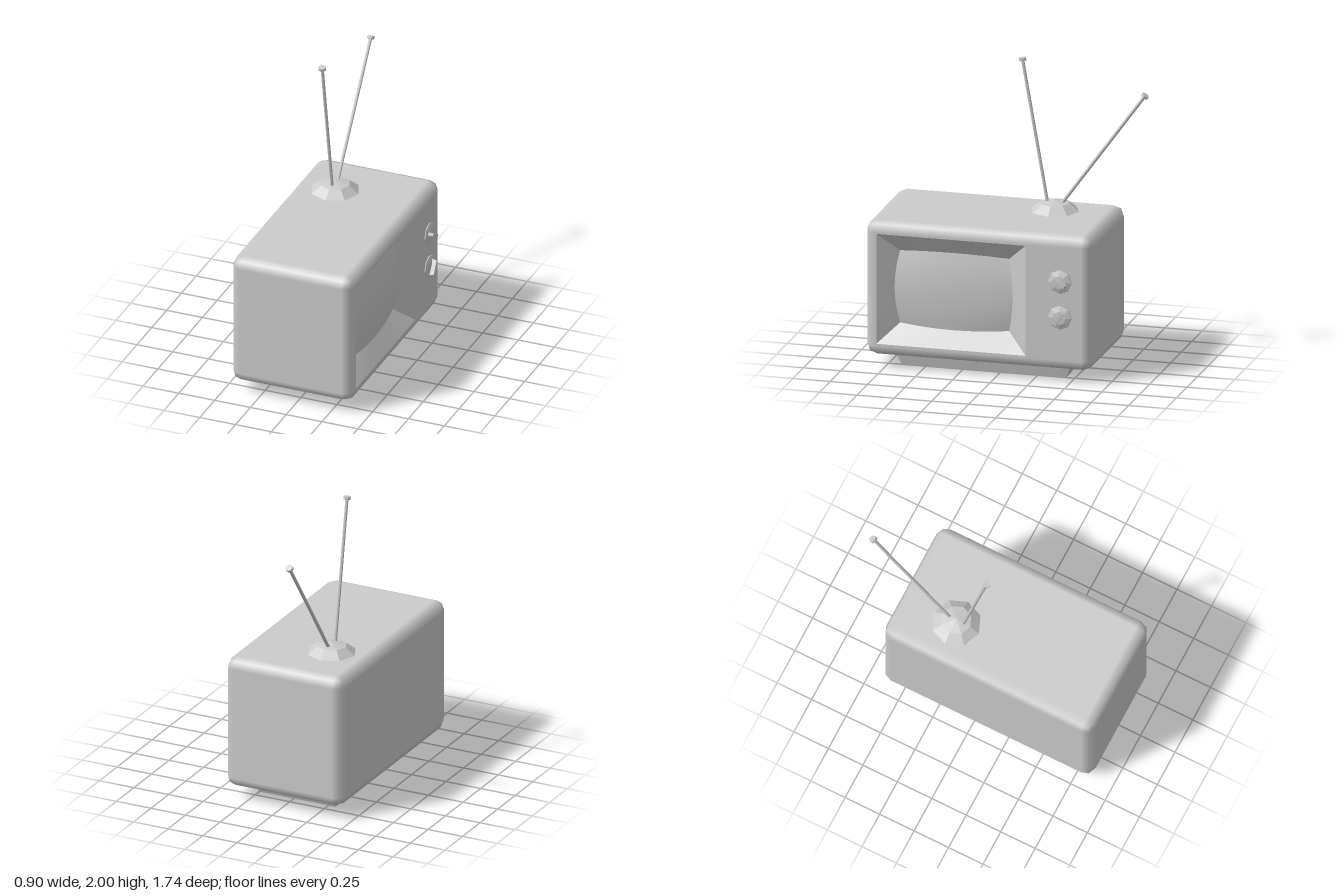
import * as THREE from 'three';
import { RoundedBoxGeometry } from 'three/addons/geometries/RoundedBoxGeometry.js';

const smooth = new THREE.MeshStandardMaterial({ color: 0xcccccc, side: THREE.DoubleSide });
const flat = new THREE.MeshStandardMaterial({ color: 0xcccccc, flatShading: true });

const BODY = { x0: -0.45, x1: 0.4, y0: 0.085, y1: 0.99, z0: -0.65, z1: 0.87, r: 0.07 };
const OPENING = { y0: 0.17, y1: 0.91, z0: -0.21, z1: 0.79 };
const ROD_X = -0.175;

function add(parent, name, geometry, material) {
  const mesh = new THREE.Mesh(geometry, material);
  mesh.name = name;
  parent.add(mesh);
  return mesh;
}

// Rounded cabinet shell with its flat screen-side face left out
function shellGeometry() {
  const { x0, x1, y0, y1, z0, z1, r } = BODY;
  const box = new RoundedBoxGeometry(x1 - x0, y1 - y0, z1 - z0, 1, r).toNonIndexed();
  box.translate((x0 + x1) / 2, (y0 + y1) / 2, (z0 + z1) / 2);
  const p = box.attributes.position, n = box.attributes.normal;
  const pos = [], nor = [];
  for (let i = 0; i < p.count; i += 3) {
    const ids = [i, i + 1, i + 2];
    if (ids.every((k) => p.getX(k) > x1 - 1e-4)) continue;
    for (const k of ids) {
      pos.push(p.getX(k), p.getY(k), p.getZ(k));
      nor.push(n.getX(k), n.getY(k), n.getZ(k));
    }
  }
  const g = new THREE.BufferGeometry();
  g.setAttribute('position', new THREE.Float32BufferAttribute(pos, 3));
  g.setAttribute('normal', new THREE.Float32BufferAttribute(nor, 3));
  return g;
}

function rectPoints(y0, y1, z0, z1) {
  return [[-z1, y0], [-z0, y0], [-z0, y1], [-z1, y1]].map(([a, b]) => new THREE.Vector2(a, b));
}

// Flat face with the rectangular opening
function panelGeometry() {
  const { x1, y0, y1, z0, z1, r } = BODY;
  const shape = new THREE.Shape(rectPoints(y0 + r, y1 - r, z0 + r, z1 - r));
  shape.holes.push(new THREE.Path(rectPoints(OPENING.y0, OPENING.y1, OPENING.z0, OPENING.z1)));
  return new THREE.ShapeGeometry(shape).rotateY(Math.PI / 2).translate(x1, 0, 0);
}

// Bulging screen surface, u and v in -1..1
function screenPoint(u, v) {
  return new THREE.Vector3(
    0.3 + 0.025 * (1 - u * u) + 0.025 * (1 - v * v),
    0.54 + v * (0.243 + 0.017 * (1 - u * u)),
    0.293 - u * (0.365 + 0.03 * (1 - v * v)));
}

function openingPoint(u, v) {
  const { y0, y1, z0, z1 } = OPENING;
  return new THREE.Vector3(BODY.x1, (y0 + y1 + v * (y1 - y0)) / 2, (z0 + z1 - u * (z1 - z0)) / 2);
}

// Grid surface whose points follow a rule of (u, v)
function gridGeometry(nu, nv, rule) {
  const g = new THREE.PlaneGeometry(2, 2, nu, nv);
  const p = g.attributes.position;
  for (let i = 0; i < p.count; i++) {
    const q = rule(p.getX(i), p.getY(i));
    p.setXYZ(i, q.x, q.y, q.z);
  }
  g.computeVertexNormals();
  return g;
}

// Octagonal dial with a tapered grip bar
function makeKnob(name, y, angle) {
  const knob = new THREE.Group();
  knob.name = name;
  const dial = add(knob, 'dial', new THREE.LatheGeometry(
    [[0.082, -0.005], [0.078, 0.006], [0.045, 0.018], [0, 0.021]].map(([a, b]) => new THREE.Vector2(a, b)), 8), flat);
  dial.rotation.z = -Math.PI / 2;
  const bar = new THREE.BoxGeometry(0.036, 0.02, 0.108);
  const p = bar.attributes.position;
  for (let i = 0; i < p.count; i++) if (p.getX(i) > 0) p.setZ(i, p.getZ(i) * 0.85);
  const grip = add(knob, 'grip', bar, flat);
  grip.position.x = 0.029;
  grip.rotation.x = angle;
  knob.position.set(BODY.x1, y, -0.44);
  return knob;
}

// Thin rod with a small cap at its end
function makeAntenna(name, y0, z0, y1, z1) {
  const antenna = new THREE.Group();
  antenna.name = name;
  const dir = new THREE.Vector3(0, y1 - y0, z1 - z0);
  const len = dir.length();
  add(antenna, 'rod', new THREE.CylinderGeometry(0.011, 0.011, len, 8).translate(0, len / 2, 0), flat);
  add(antenna, 'cap', new THREE.CylinderGeometry(0.025, 0.025, 0.02, 8).translate(0, len, 0), flat);
  antenna.position.set(ROD_X, y0, z0);
  antenna.quaternion.setFromUnitVectors(new THREE.Vector3(0, 1, 0), dir.normalize());
  return antenna;
}

export function createModel() {
  const model = new THREE.Group();
  model.name = 'television';

  // Cabinet
  add(model, 'cabinet', shellGeometry(), smooth);
  add(model, 'screenPanel', panelGeometry(), smooth);

  // Sloped surround from the opening in to the screen edge
  const surround = new THREE.Group();
  surround.name = 'screenSurround';
  model.add(surround);
  const sides = [(t) => [t, 1], (t) => [t, -1], (t) => [1, t], (t) => [-1, t]];
  for (const edge of sides) {
    add(surround, 'surroundSide', gridGeometry(8, 1, (t, w) => {
      const [u, v] = edge(t);
      return openingPoint(u, v).lerp(screenPoint(u, v), (w + 1) / 2);
    }), smooth);
  }
  add(model, 'screen', gridGeometry(8, 8, screenPoint), smooth);

  // Tapered plinth
  const plinth = new THREE.BoxGeometry(0.6, 0.1, 1.19).translate(-0.025, 0.05, 0.11);
  const p = plinth.attributes.position;
  for (let i = 0; i < p.count; i++) {
    if (p.getY(i) > 0.05) continue;
    p.setX(i, -0.025 + Math.sign(p.getX(i) + 0.025) * 0.275);
    p.setZ(i, 0.11 + Math.sign(p.getZ(i) - 0.11) * 0.55);
  }
  add(model, 'plinth', plinth, flat);

  // Control knobs
  model.add(makeKnob('upperKnob', 0.685, -0.52));
  model.add(makeKnob('lowerKnob', 0.445, 1.02));

  // Antenna base and rods
  const dome = add(model, 'antennaBase', new THREE.LatheGeometry(
    [[0.175, 0.98], [0.1, 1.04], [0, 1.06]].map(([a, b]) => new THREE.Vector2(a, b)), 8), flat);
  dome.position.set(ROD_X, 0, -0.245);
  model.add(makeAntenna('uprightAntenna', 1.03, -0.197, 1.988, -0.028));
  model.add(makeAntenna('slantedAntenna', 1.03, -0.285, 1.805, -0.848));
  return model;
}
